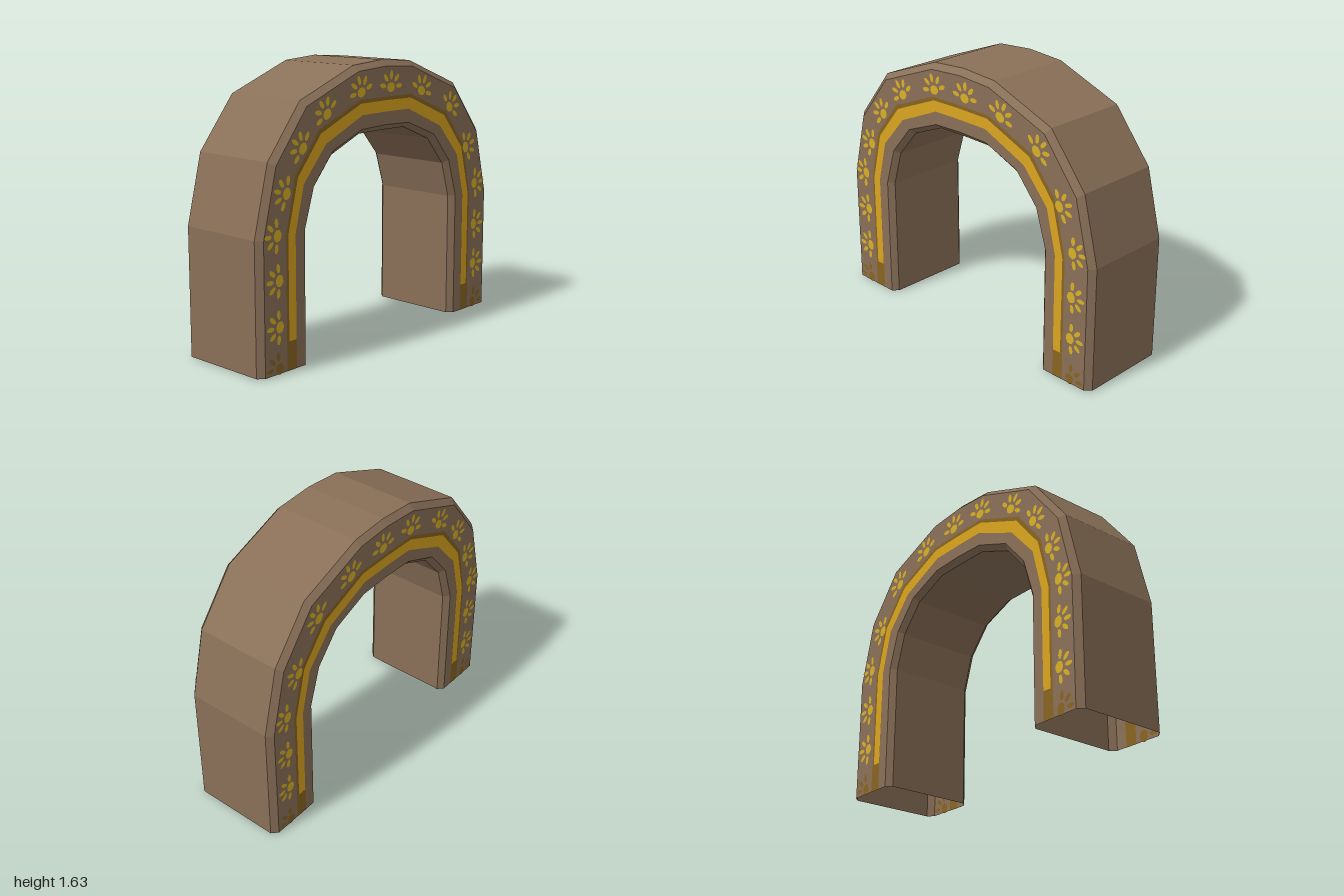
import * as THREE from 'three';

const mat = (name, color) => new THREE.MeshStandardMaterial({ name, color, side: THREE.DoubleSide });

// Half profiles run from the +x foot to the crown; mirror them into a whole arch
const whole = (half) => [...half.map(([x, y]) => [-x, y]), ...half.slice(0, -1).reverse()];

const OUTER = whole([[1, 0], [1, 0.75], [0.9, 1.15], [0.66, 1.45], [0.24, 1.61], [0, 1.627]]);
const OUTER_FACE = whole([[0.965, 0], [0.965, 0.745], [0.87, 1.13], [0.64, 1.42], [0.23, 1.577], [0, 1.592]]);
const INNER_FACE = whole([[0.662, 0], [0.662, 0.755], [0.59, 0.985], [0.44, 1.16], [0.203, 1.253], [0, 1.26]]);
const INNER = whole([[0.63, 0], [0.63, 0.75], [0.565, 0.965], [0.42, 1.133], [0.195, 1.225], [0, 1.228]]);

const HALF_DEPTH = 0.298;
const BEVEL_Z = 0.265;

// Hollow bevelled arch, open under both feet
function archGeometry() {
  const section = [
    [OUTER, BEVEL_Z], [OUTER, -BEVEL_Z], [OUTER_FACE, -HALF_DEPTH], [INNER_FACE, -HALF_DEPTH],
    [INNER, -BEVEL_Z], [INNER, BEVEL_Z], [INNER_FACE, HALF_DEPTH], [OUTER_FACE, HALF_DEPTH],
  ];
  const n = section.length;
  const position = [];
  const index = [];
  for (let i = 0; i < OUTER.length; i++) {
    for (const [path, z] of section) position.push(path[i][0], path[i][1], z);
  }
  for (let i = 0; i < OUTER.length - 1; i++) {
    for (let j = 0; j < n; j++) {
      const k = (j + 1) % n;
      const a = i * n + j, b = (i + 1) * n + j, c = (i + 1) * n + k, d = i * n + k;
      index.push(a, b, c, a, c, d);
    }
  }
  const g = new THREE.BufferGeometry();
  g.setAttribute('position', new THREE.Float32BufferAttribute(position, 3));
  g.setIndex(index);
  const flat = g.toNonIndexed();
  flat.computeVertexNormals();
  return flat;
}

// Band between two arch lines; flip is -1 for the back
function band(outer, inner, flip) {
  const points = [...whole(outer), ...whole(inner).reverse()];
  return new THREE.Shape(points.map(([x, y]) => new THREE.Vector2(x * flip, y)));
}

function blob(x, y, rx, ry, angle) {
  return new THREE.Shape().absellipse(x, y, rx, ry, 0, Math.PI * 2, false, angle);
}

// Paw print with its toes fanned away from the opening
function paw([x0, y], flip) {
  const x = x0 * flip;
  const out = Math.atan2(Math.max(0, y - 0.75), x);
  const shapes = [blob(x, y, 0.034, 0.028, out + Math.PI / 2)];
  for (const spread of [-1.45, -0.72, 0, 0.72, 1.45]) {
    const a = out + spread;
    const tx = x + Math.cos(a) * 0.07, ty = y + Math.sin(a) * 0.07;
    if (ty > 0.02) shapes.push(blob(tx, ty, 0.027, 0.0135, a));
  }
  return shapes;
}

const STRIPE_OUT = [[0.787, 0.165], [0.787, 0.75], [0.712, 1.05], [0.535, 1.265], [0.215, 1.397], [0, 1.4]];
const STRIPE_IN = [[0.733, 0.165], [0.733, 0.75], [0.668, 1.01], [0.495, 1.205], [0.2, 1.333], [0, 1.335]];
const EDGE_OUT = [[0.803, 0], [0.803, 0.75], [0.733, 1.06], [0.55, 1.285], [0.222, 1.417], [0, 1.42]];
const EDGE_IN = [[0.731, 0], ...STRIPE_IN.slice(1)];

const PAWS = [
  [-0.855, 0.26], [-0.855, 0.515], [-0.865, 0.76], [-0.795, 0.975], [-0.672, 1.2], [-0.485, 1.365],
  [-0.21, 1.46], [0.04, 1.47], [0.315, 1.43], [0.585, 1.31], [0.755, 1.045], [0.855, 0.805],
  [0.855, 0.54], [0.855, 0.285],
];
const FOOT_PAWS = [[-0.86, 0.03], [0.86, 0.03]];

export function createModel() {
  const stone = mat('brown stone', 0x8a7058);
  const gold = mat('gold stripe', 0xdaa520);
  const yellow = mat('yellow paw paint', 0xd8b024);
  const dark = mat('dark gold', 0x886420);

  const model = new THREE.Group();
  model.name = 'pawPrintArch';
  const add = (parent, name, geometry, material, z = 0) => {
    const mesh = new THREE.Mesh(geometry, material);
    mesh.name = name;
    mesh.position.z = z;
    parent.add(mesh);
  };
  add(model, 'archBody', archGeometry(), stone);

  // Painted layers on both faces, also showing on the inside of the shell
  for (const flip of [1, -1]) {
    const paint = new THREE.Group();
    paint.name = flip > 0 ? 'frontPaint' : 'backPaint';
    if (flip < 0) paint.rotation.y = Math.PI;
    const layers = [
      ['stripeEdge', [band(EDGE_OUT, EDGE_IN, flip)], dark, 0.001],
      ['stripe', [band(STRIPE_OUT, STRIPE_IN, flip)], gold, 0.002],
      ['pawPrints', PAWS.flatMap((p) => paw(p, flip)), yellow, 0.002],
      ['footPawPrints', FOOT_PAWS.flatMap((p) => paw(p, flip)), dark, 0.002],
    ];
    for (const [name, shapes, material, lift] of layers) {
      const geometry = new THREE.ShapeGeometry(shapes, 5);
      add(paint, name, geometry, material, HALF_DEPTH + lift);
      add(paint, name + 'Inside', geometry, material, HALF_DEPTH - lift);
    }
    model.add(paint);
  }
  return model;
}
